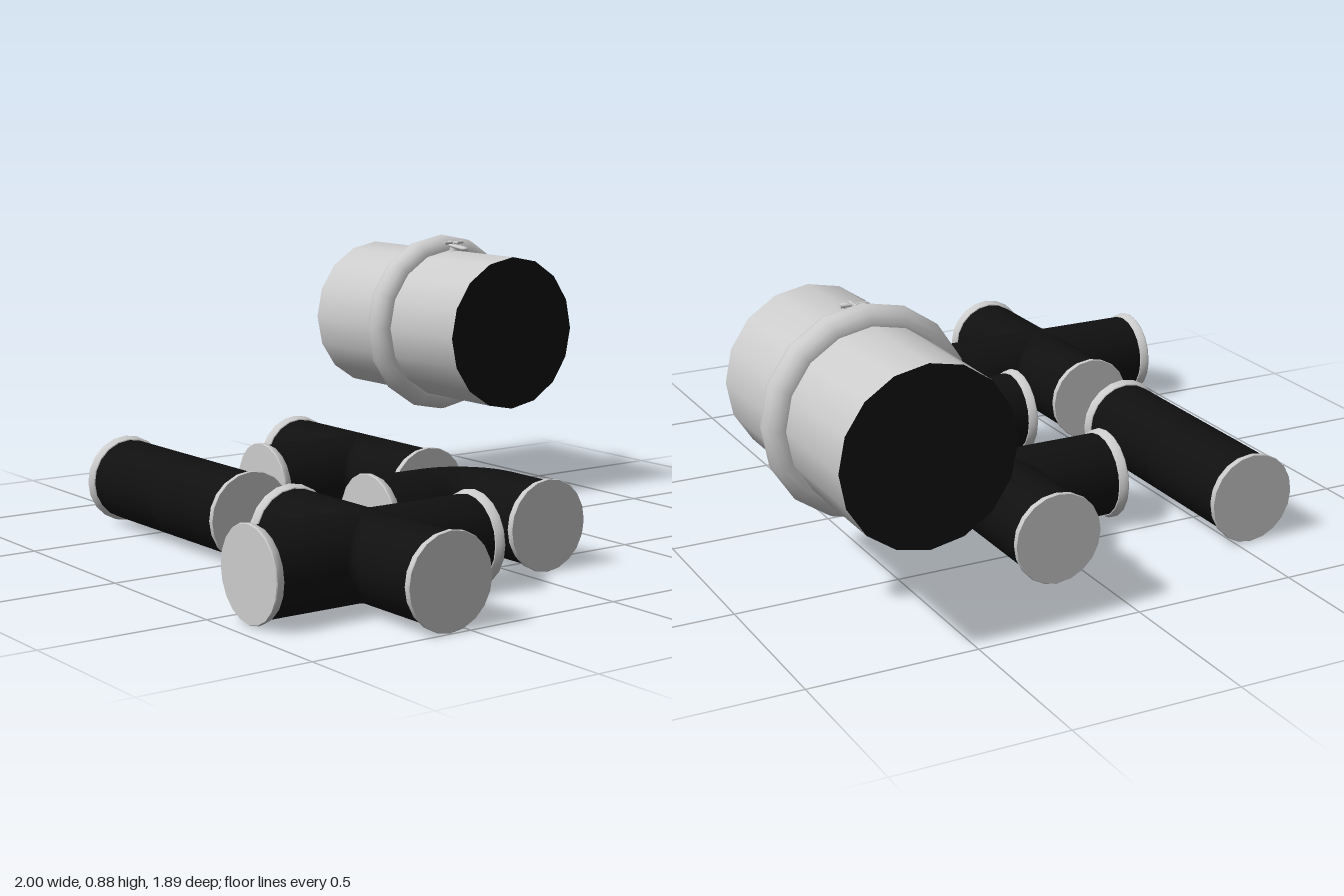
import * as THREE from 'three';
import { toCreasedNormals } from 'three/addons/utils/BufferGeometryUtils.js';
import { ParametricGeometry } from 'three/addons/geometries/ParametricGeometry.js';

const R = 0.127, SIDES = 20, PIPE_Y = 0.14;
const grey = new THREE.MeshStandardMaterial({ color: 0xcccccc });
const black = new THREE.MeshStandardMaterial({ color: 0x101010 });
const blackThin = new THREE.MeshStandardMaterial({ color: 0x101010, side: THREE.DoubleSide });

function add(parent, name, geometry, material, x = 0, y = 0, z = 0) {
  const mesh = new THREE.Mesh(geometry, material);
  mesh.name = name;
  mesh.position.set(x, y, z);
  parent.add(mesh);
  return mesh;
}

// Revolves [radius, distance] pairs around the x axis
function revolve(points, sides) {
  const g = new THREE.LatheGeometry(points.map(p => new THREE.Vector2(...p)), sides);
  return toCreasedNormals(g.rotateZ(-Math.PI / 2), Math.PI / 5);
}

// One pipe arm along +x, turned by yaw, ending in a capped flange
function arm(parent, length, yaw, x = 0, z = 0) {
  const g = new THREE.Group();
  g.name = 'pipeArm';
  g.position.set(x, 0, z);
  g.rotation.y = yaw;
  add(g, 'pipe', revolve([[R, 0], [R, length - 0.01]], SIDES), blackThin);
  add(g, 'flange', revolve([
    [R - 0.003, length - 0.03], [0.130, length - 0.028], [0.137, length - 0.014],
    [0.138, length - 0.003], [0.136, length], [0, length],
  ], SIDES), grey);
  parent.add(g);
}

// Small concave blend in the corner between two crossing pipes
function fillet(parent, yaw) {
  const g = new ParametricGeometry((u, v, p) => {
    const t = (v - 0.5) * Math.PI, a = Math.PI * (1 + u / 2);
    const w = R * Math.cos(t), f = 0.024 * Math.cos(t);
    p.set(w + f + f * Math.cos(a), R * Math.sin(t), w + f + f * Math.sin(a));
  }, 5, 16);
  add(parent, 'cornerFillet', g, blackThin).rotation.y = yaw;
}

function fitting(parent, name, x, z) {
  const g = new THREE.Group();
  g.name = name;
  g.position.set(x, PIPE_Y, z);
  parent.add(g);
  return g;
}

// Large duct with clamp ring and wing screw
function duct(parent) {
  const g = new THREE.Group();
  g.name = 'clampedDuct';
  g.position.set(-0.61, 0.573, -0.64);
  parent.add(g);
  add(g, 'ductShell', revolve([[0.255, -0.39], [0.255, 0.39]], 16), grey);
  for (const s of [-1, 1]) {
    const cap = add(g, 'ductEnd', new THREE.CircleGeometry(0.255, 16), black, s * 0.39);
    cap.rotation.y = s * Math.PI / 2;
  }
  const ring = new THREE.TorusGeometry(0.254, 0.051, 14, 16).rotateY(Math.PI / 2);
  add(g, 'clampRing', ring, grey);

  const latch = new THREE.Group();
  latch.name = 'clampScrew';
  latch.position.set(0.07, 0.25, 0);
  g.add(latch);
  add(latch, 'screwStem', new THREE.CylinderGeometry(0.008, 0.017, 0.04, 10), grey, 0, 0.015);
  add(latch, 'screwBar', new THREE.CylinderGeometry(0.005, 0.005, 0.08, 8).rotateX(Math.PI / 2), grey, 0, 0.032);
  add(latch, 'screwPin', new THREE.CylinderGeometry(0.005, 0.005, 0.055, 8).rotateZ(Math.PI / 2), grey, 0, 0.032);
  const lever = new THREE.CapsuleGeometry(0.015, 0.065, 4, 10).rotateZ(Math.PI / 2).scale(1, 0.5, 1);
  add(latch, 'lever', lever, grey, 0.025, 0.018).rotation.z = -0.1;
}

export function createModel() {
  const model = new THREE.Group();
  model.name = 'pipeFittings';
  const quarter = Math.PI / 2;

  duct(model);

  const straight = fitting(model, 'straightPipe', -0.357, 0.55);
  for (const yaw of [0, Math.PI]) arm(straight, 0.378, yaw);

  const tee = fitting(model, 'teePipe', -0.357, -0.107);
  for (const yaw of [0, Math.PI, -quarter]) arm(tee, 0.378, yaw);
  for (const yaw of [0, -quarter]) fillet(tee, yaw);

  const cross = fitting(model, 'crossPipe', 0.617, 0.562);
  for (let i = 0; i < 4; i++) {
    arm(cross, 0.38, i * quarter);
    fillet(cross, i * quarter);
  }

  // Elbow: quarter torus between two arms
  const elbow = fitting(model, 'elbowPipe', 0.41, 0.075);
  const bend = new THREE.TorusGeometry(0.155, R, SIDES, 10, quarter);
  add(elbow, 'bend', bend.rotateZ(Math.PI).rotateX(quarter), black);
  arm(elbow, 0.22, 0, 0, -0.155);
  arm(elbow, 0.222, -quarter, -0.155, 0);

  return model;
}
